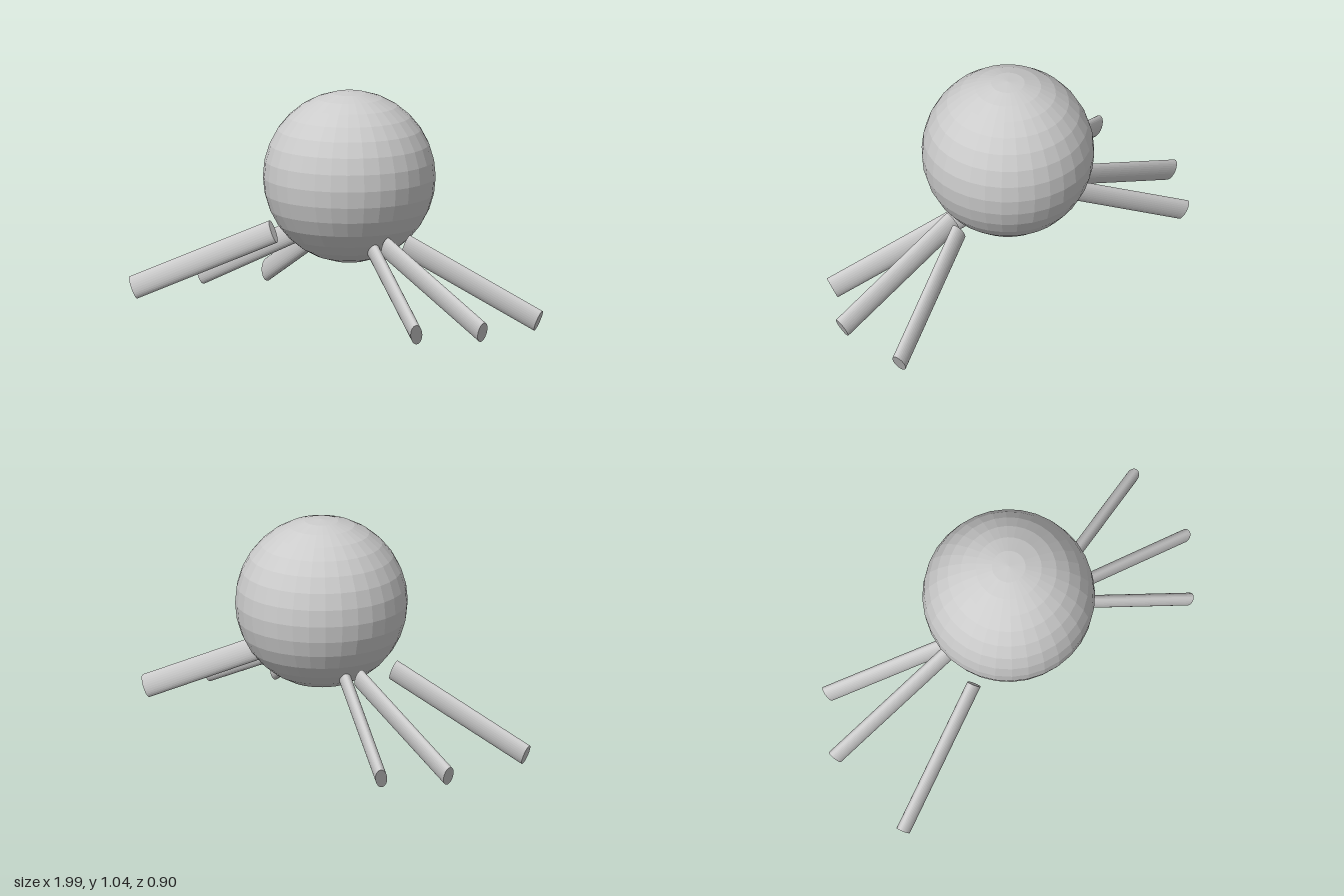
import * as THREE from 'three';

const material = new THREE.MeshStandardMaterial({ color: 0xcccccc, flatShading: true });

// Oval rod between two points, its long cross-section axis upright with a slight roll
function makeLeg(name, inner, outer) {
  const a = new THREE.Vector3(...inner);
  const b = new THREE.Vector3(...outer);
  const axis = b.clone().sub(a);
  const length = axis.length();
  axis.normalize();
  const side = new THREE.Vector3().crossVectors(axis, new THREE.Vector3(0, 1, 0)).normalize();
  const up = new THREE.Vector3().crossVectors(side, axis).applyAxisAngle(axis, 0.2);
  const depth = new THREE.Vector3().crossVectors(up, axis);

  const geometry = new THREE.CylinderGeometry(1, 1, length, 32);
  geometry.scale(0.055, 1, 0.028);
  geometry.applyMatrix4(new THREE.Matrix4().makeBasis(up, axis, depth));
  const leg = new THREE.Mesh(geometry, material);
  leg.position.copy(a).add(b).multiplyScalar(0.5);
  leg.name = name;
  return leg;
}

export function createModel() {
  const model = new THREE.Group();
  model.name = 'sphereWithLegs';

  // Round faceted body
  const body = new THREE.Mesh(new THREE.SphereGeometry(0.4, 32, 16), material);
  body.position.set(0.015, 0.643, -0.05);
  body.name = 'body';
  model.add(body);

  // Six splayed legs: inner end, outer end
  const legs = [
    ['leftBackLeg', [0.35, 0.36, -0.09], [0.95, 0.05, -0.365]],
    ['leftMiddleLeg', [0.31, 0.355, -0.003], [0.972, 0.05, 0.014]],
    ['leftFrontLeg', [0.205, 0.355, 0.0], [0.805, 0.05, 0.277]],
    ['rightFrontLeg', [-0.31, 0.36, 0.125], [-0.932, 0.05, 0.425]],
    ['rightMiddleLeg', [-0.312, 0.355, -0.073], [-0.975, 0.05, -0.053]],
    ['rightBackLeg', [-0.2, 0.355, -0.085], [-0.82, 0.05, -0.325]],
  ];
  for (const leg of legs) model.add(makeLeg(...leg));

  return model;
}
